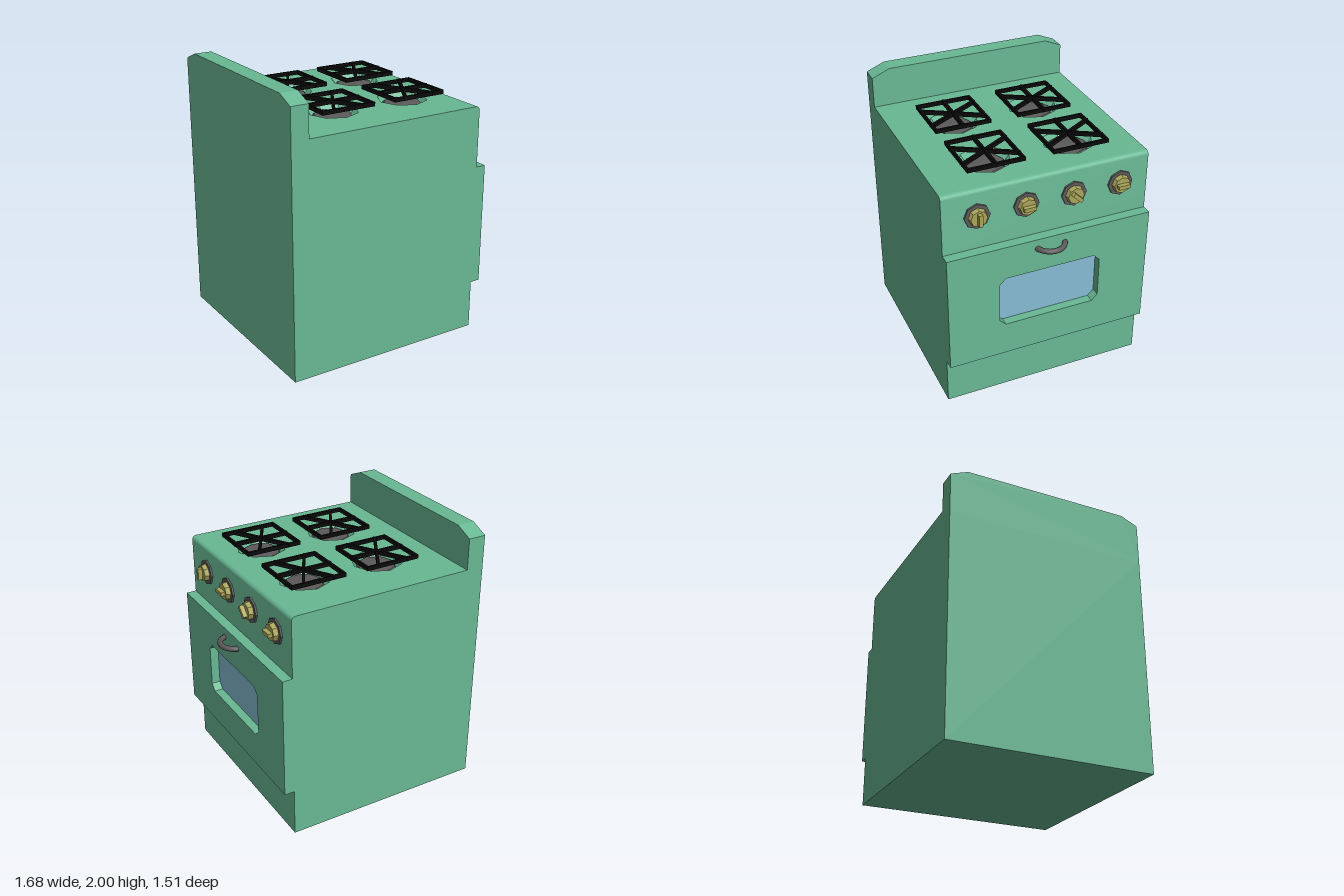
import * as THREE from 'three';
import { toCreasedNormals } from 'three/addons/utils/BufferGeometryUtils.js';

const paint = (color, extra = {}) => new THREE.MeshStandardMaterial({ color, ...extra });
const green = paint(0x69b894);
const bowlGreen = paint(0x69b894, { flatShading: true, side: THREE.DoubleSide });
const blue = paint(0x86bbd4);
const gold = paint(0xaaa55a, { flatShading: true });
const grey = paint(0x5c5a5a, { flatShading: true });
const handleGrey = paint(0x5c5a5a);
const black = paint(0x0a0a0a);

const HALF = 0.757;   // half width along z
const FRONT = 0.668;  // front plane of the body
const TOP = 1.715;    // cooktop height
const SEAT = 1.64;    // underside of the cooktop slab

const toShape = (pts) => new THREE.Shape(pts.map((p) => new THREE.Vector2(p[0], p[1])));
const extrude = (shape, depth) =>
  new THREE.ExtrudeGeometry(shape, { depth, bevelEnabled: false, curveSegments: 6 });

function add(parent, name, geometry, material, x = 0, y = 0, z = 0) {
  const mesh = new THREE.Mesh(geometry, material);
  mesh.name = name;
  mesh.position.set(x, y, z);
  parent.add(mesh);
  return mesh;
}

function octagonPoints(cx, cy, r) {
  return Array.from({ length: 8 }, (_, i) => {
    const a = (i * Math.PI) / 4;
    return [cx + r * Math.cos(a), cy + r * Math.sin(a)];
  });
}

// Rectangle with cut corners, centred on the first axis
function cutRectangle(h, y0, y1, c) {
  return [[-h + c, y0], [h - c, y0], [h, y0 + c], [h, y1 - c],
    [h - c, y1], [-h + c, y1], [-h, y1 - c], [-h, y0 + c]];
}

// Square grate with three bars crossing the middle
function makeGrate() {
  const grate = new THREE.Group();
  grate.name = 'grate';
  const w = 0.016, h = 0.03, r = 0.2;
  for (const s of [-1, 1]) {
    add(grate, 'grateSide', new THREE.BoxGeometry(2 * r + w, h, w), black, 0, 0, s * r);
    add(grate, 'grateSide', new THREE.BoxGeometry(w, h, 2 * r + w), black, s * r, 0, 0);
  }
  for (let i = 0; i < 6; i++) {
    const a = (i * Math.PI) / 3;
    const outer = i % 3 === 0 ? 0.212 : 0.208 / Math.sin(Math.PI / 3);
    const mid = (outer + 0.015) / 2;
    const bar = add(grate, 'grateSpoke', new THREE.BoxGeometry(outer - 0.015, h, 0.02), black,
      mid * Math.cos(a), 0.001, mid * Math.sin(a));
    bar.rotation.y = -a;
  }
  return grate;
}

// Sunken bowl, burner and grate
function makeBurner(x, z) {
  const burner = new THREE.Group();
  burner.name = 'burner';
  burner.position.set(x, TOP, z);
  const bowl = [[0.18, 0], [0.14, -0.05], [0, -0.05]].map((p) => new THREE.Vector2(p[0], p[1]));
  add(burner, 'burnerBowl', new THREE.LatheGeometry(bowl, 8), bowlGreen);
  add(burner, 'burnerPlate', new THREE.CylinderGeometry(0.135, 0.147, 0.02, 8), grey, 0, -0.035, 0);
  add(burner, 'burnerCap', new THREE.CylinderGeometry(0.025, 0.135, 0.008, 8), grey, 0, -0.021, 0);
  const grate = makeGrate();
  grate.position.y = 0.066;
  burner.add(grate);
  return burner;
}

// Control knob pointing along +x, with its grip turned by the given angle
function makeKnob(z, angle) {
  const knob = new THREE.Group();
  knob.name = 'knob';
  knob.position.set(FRONT, 1.52, z);
  const disc = (r0, r1, d) => new THREE.CylinderGeometry(r1, r0, d, 8).rotateZ(-Math.PI / 2);
  add(knob, 'knobPlate', disc(0.093, 0.093, 0.014), grey, 0.007);
  add(knob, 'knobBody', disc(0.067, 0.06, 0.036), gold, 0.03);
  add(knob, 'knobGrip', new THREE.BoxGeometry(0.04, 0.088, 0.028), gold, 0.06).rotation.x = angle;
  return knob;
}

export function createModel() {
  const stove = new THREE.Group();
  stove.name = 'stove';

  // Body, with the rounded front lip rising around the cooktop slab
  const lip = 0.03;
  const profile = new THREE.Shape();
  profile.moveTo(-0.84, 0);
  profile.lineTo(FRONT, 0);
  profile.lineTo(FRONT, TOP - lip);
  profile.absarc(FRONT - lip, TOP - lip, lip, 0, Math.PI / 2, false);
  profile.lineTo(FRONT - lip, SEAT);
  profile.lineTo(-0.84, SEAT);
  profile.closePath();
  add(stove, 'body', toCreasedNormals(extrude(profile, 2 * HALF), 0.6), green, 0, 0, -HALF);

  // Cooktop slab with four burner openings
  const centres = [];
  for (const x of [-0.256, 0.326]) for (const z of [-0.31, 0.31]) centres.push([x, z]);
  const slab = toShape([[-0.708, -HALF], [FRONT - lip, -HALF], [FRONT - lip, HALF], [-0.708, HALF]]);
  for (const [x, z] of centres) slab.holes.push(toShape(octagonPoints(x, z, 0.18)));
  add(stove, 'cooktop', extrude(slab, TOP - SEAT).rotateX(-Math.PI / 2), green, 0, SEAT, 0);
  for (const [x, z] of centres) stove.add(makeBurner(x, z));

  // Raised back panel with sloped ends
  const back = toShape([[-HALF, SEAT], [HALF, SEAT], [HALF, 1.945],
    [0.625, 2], [-0.625, 2], [-HALF, 1.945]]);
  add(stove, 'backPanel', extrude(back, 0.132).rotateY(Math.PI / 2), green, -0.84, 0, 0);

  // Oven door with a recessed window
  const door = toShape([[-HALF, 0.36], [HALF, 0.36], [HALF, 1.265], [-HALF, 1.265]]);
  const opening = cutRectangle(0.38, 0.615, 1.01, 0.045);
  door.holes.push(toShape(opening));
  add(stove, 'ovenDoor', extrude(door, 0.074).rotateY(Math.PI / 2), green, FRONT, 0, 0);
  add(stove, 'ovenWindow', extrude(toShape(opening), 0.01).rotateY(Math.PI / 2), blue, FRONT, 0, 0);

  // Curved door handle
  const handle = new THREE.TorusGeometry(0.106, 0.02, 10, 24, Math.PI);
  handle.rotateZ(-Math.PI / 2).rotateX(Math.PI / 2);
  add(stove, 'doorHandle', handle, handleGrey, 0.71, 1.193, 0);

  // Row of knobs
  const angles = [0, Math.PI / 2, Math.PI / 4, Math.PI / 2];
  angles.forEach((angle, i) => stove.add(makeKnob(0.51 - 0.351 * i, angle)));

  return stove;
}
